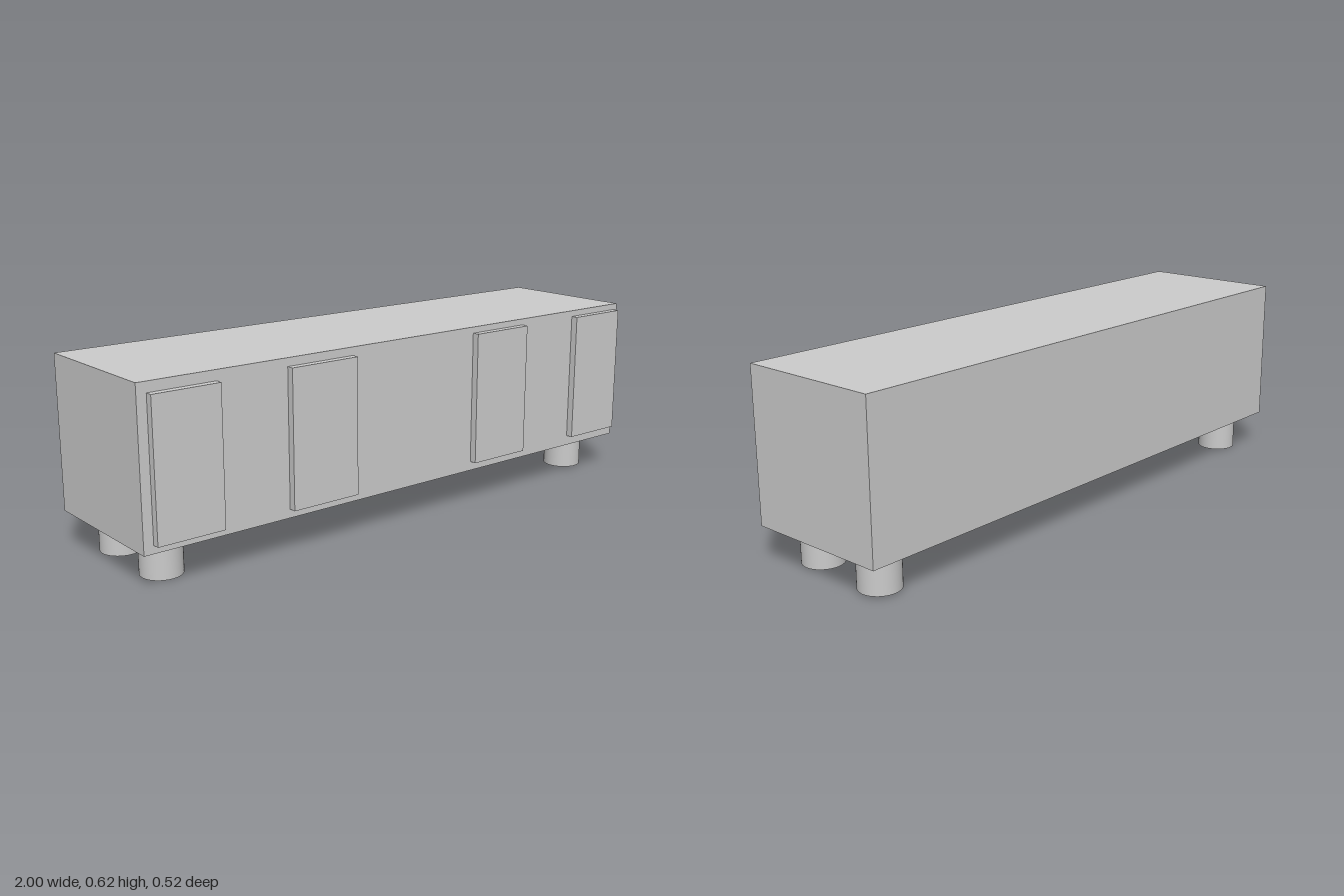
import * as THREE from 'three';

const material = new THREE.MeshStandardMaterial({ color: 0xcccccc });

function addPart(group, name, geometry, x, y, z) {
  const mesh = new THREE.Mesh(geometry, material);
  mesh.name = name;
  mesh.position.set(x, y, z);
  group.add(mesh);
}

export function createModel() {
  const group = new THREE.Group();
  group.name = 'sideboard';
  const bottom = 0.123, height = 0.5, front = 0.238, back = -0.261;

  // Cabinet body
  addPart(group, 'cabinet', new THREE.BoxGeometry(2, height, front - back),
    0, bottom + height / 2, (front + back) / 2);

  // Raised door panels: x min, x max, y min, y max, front z
  const panels = [
    [-0.968, -0.743, 0.149, 0.59, 0.262],
    [-0.497, -0.25, 0.151, 0.596, 0.262],
    [0.263, 0.499, 0.154, 0.602, 0.262],
    [0.754, 0.982, 0.158, 0.602, 0.262],
  ];
  panels.forEach(([x0, x1, y0, y1, z1], i) => {
    const z0 = front - 0.01;
    addPart(group, `doorPanel${i + 1}`, new THREE.BoxGeometry(x1 - x0, y1 - y0, z1 - z0),
      (x0 + x1) / 2, (y0 + y1) / 2, (z0 + z1) / 2);
  });

  // Round feet: x, z, lower end
  const feet = [
    ['rightFrontFoot', -0.871, 0.101, 0],
    ['rightBackFoot', -0.871, -0.148, 0],
    ['leftFrontFoot', 0.874, 0.112, 0.005],
    ['leftBackFoot', 0.886, -0.154, 0.005],
  ];
  for (const [name, x, z, y0] of feet) {
    const top = bottom + 0.005;
    addPart(group, name, new THREE.CylinderGeometry(0.067, 0.067, top - y0, 48),
      x, (top + y0) / 2, z);
  }
  return group;
}
